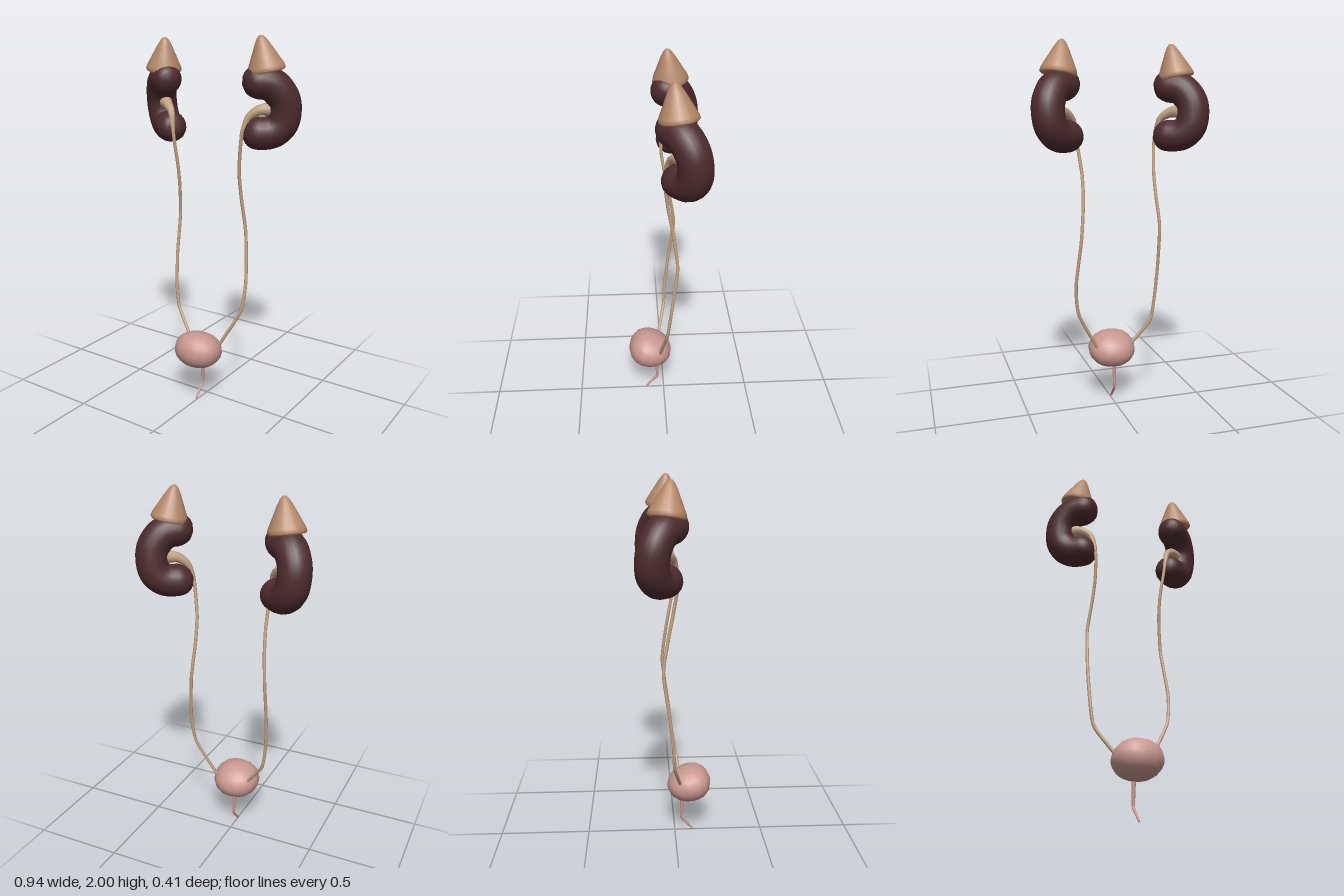
import * as THREE from 'three';
import { mergeVertices } from 'three/addons/utils/BufferGeometryUtils.js';

const material = (name, color) => new THREE.MeshStandardMaterial({ name, color });

// Tube along a smooth path; radiusAt(distance, length) sets its thickness
function sweep(points, radiusAt, segments, sides, tension = 0.5) {
  const path = new THREE.CatmullRomCurve3(
    points.map(p => new THREE.Vector3(...p)), false, 'catmullrom', tension);
  const length = path.getLength();
  const geo = new THREE.TubeGeometry(path, segments, 1, sides);
  const pos = geo.attributes.position;
  const v = new THREE.Vector3();
  for (let i = 0; i <= segments; i++) {
    const centre = path.getPointAt(i / segments);
    const r = radiusAt(length * i / segments, length);
    for (let j = 0; j <= sides; j++) {
      const k = i * (sides + 1) + j;
      v.fromBufferAttribute(pos, k).sub(centre).multiplyScalar(r).add(centre);
      pos.setXYZ(k, v.x, v.y, v.z);
    }
  }
  geo.deleteAttribute('uv');
  geo.deleteAttribute('normal');
  const welded = mergeVertices(geo, 1e-5);
  welded.computeVertexNormals();
  return welded;
}

export function createModel() {
  const group = new THREE.Group();
  group.name = 'urinarySystem';
  const kidneyMat = material('kidney maroon', 0x4d2b2d);
  const glandMat = material('gland tan', 0xb58869);
  const ureterMat = material('ureter beige', 0xc2a283);
  const bladderMat = material('bladder pink', 0xc8978f);

  const add = (name, geo, mat) => {
    const mesh = new THREE.Mesh(geo, mat);
    mesh.name = name;
    group.add(mesh);
    return mesh;
  };

  // Kidney: C-shaped spine turned outward and back, with rounded ends
  const R = 0.084;
  const kidneyRadius = (s, len) => {
    const d = Math.min(s, len - s);
    return d >= R ? R : R * Math.sqrt(Math.max(0, 1 - ((R - d) / R) ** 2));
  };
  const kidneySpine = [
    [0.22, 1.765], [0.29, 1.778], [0.345, 1.76], [0.38, 1.705], [0.388, 1.645],
    [0.375, 1.575], [0.335, 1.53], [0.28, 1.522], [0.212, 1.535],
  ];

  // Gland: soft cone with a rounded tip
  const glandProfile = [
    [0, 0], [0.05, -0.008], [0.088, -0.012], [0.096, -0.004], [0.092, 0.015],
    [0.065, 0.07], [0.038, 0.125], [0.022, 0.152], [0.01, 0.164], [0, 0.167],
  ].map(p => new THREE.Vector2(...p));

  // Ureter: funnel at the kidney, thin down to the bladder
  const ureterRadius = s => 0.009 + 0.029 * Math.max(0, 1 - s / 0.26) ** 1.6;
  const ureters = {
    left: [
      [0.335, 1.645, -0.085], [0.285, 1.64, -0.045], [0.24, 1.605, -0.018],
      [0.217, 1.53, 0.003], [0.206, 1.45, 0.002], [0.19, 1.32, -0.015],
      [0.19, 1.18, -0.04], [0.208, 0.98, -0.063], [0.232, 0.72, -0.03],
      [0.213, 0.55, -0.01], [0.1, 0.34, 0.025],
    ],
    right: [
      [-0.335, 1.645, -0.085], [-0.29, 1.638, -0.045], [-0.245, 1.605, -0.018],
      [-0.223, 1.53, 0.0], [-0.214, 1.45, 0.0], [-0.208, 1.32, -0.022],
      [-0.213, 1.2, -0.045], [-0.228, 1.03, -0.07], [-0.23, 0.8, -0.04],
      [-0.22, 0.61, -0.018], [-0.198, 0.48, -0.01], [-0.1, 0.345, 0.025],
    ],
  };

  for (const [side, sx, drop] of [['left', 1, 0], ['right', -1, 0.012]]) {
    const spine = kidneySpine.map(([x, y]) =>
      [sx * x, y - drop * 0.5, -0.042 - 0.75 * (x - 0.3) + 0.13 * (y - 1.77)]);
    add(side + 'Kidney', sweep(spine, kidneyRadius, 48, 20), kidneyMat);

    const gland = add(side + 'AdrenalGland', new THREE.LatheGeometry(glandProfile, 20), glandMat);
    gland.position.set(sx * 0.317, 1.84 - drop, -0.053);
    gland.rotation.set(0.12, 0, sx * 0.16);

    add(side + 'Ureter', sweep(ureters[side], ureterRadius, 64, 10, 0.3), ureterMat);
  }

  // Bladder: boxy ellipsoid, fuller and higher towards the front
  const bladderGeo = new THREE.SphereGeometry(1, 16, 12);
  const pos = bladderGeo.attributes.position;
  const boxy = c => Math.sign(c) * Math.abs(c) ** 0.92;
  for (let i = 0; i < pos.count; i++) {
    const x = boxy(pos.getX(i)), y = pos.getY(i), z = boxy(pos.getZ(i));
    pos.setXYZ(i, x * 0.133 * (1 + 0.05 * z), y * 0.1 * (1 + 0.08 * z), z * 0.124);
  }
  bladderGeo.deleteAttribute('uv');
  bladderGeo.deleteAttribute('normal');
  const bladderSkin = mergeVertices(bladderGeo, 1e-5);
  bladderSkin.computeVertexNormals();
  const bladder = add('bladder', bladderSkin, bladderMat);
  bladder.position.set(-0.002, 0.306, 0.079);
  bladder.rotation.x = -0.22;

  // Urethra: short tube that bends forward and tapers shut
  const urethra = [
    [-0.004, 0.24, 0.043], [-0.004, 0.15, 0.039], [-0.004, 0.085, 0.038],
    [-0.004, 0.045, 0.072], [-0.004, 0.003, 0.108],
  ];
  add('urethra', sweep(urethra,
    (s, len) => (s >= len - 1e-6 ? 0 : 0.012 - 0.007 * s / len), 24, 10, 0.25), bladderMat);

  return group;
}
